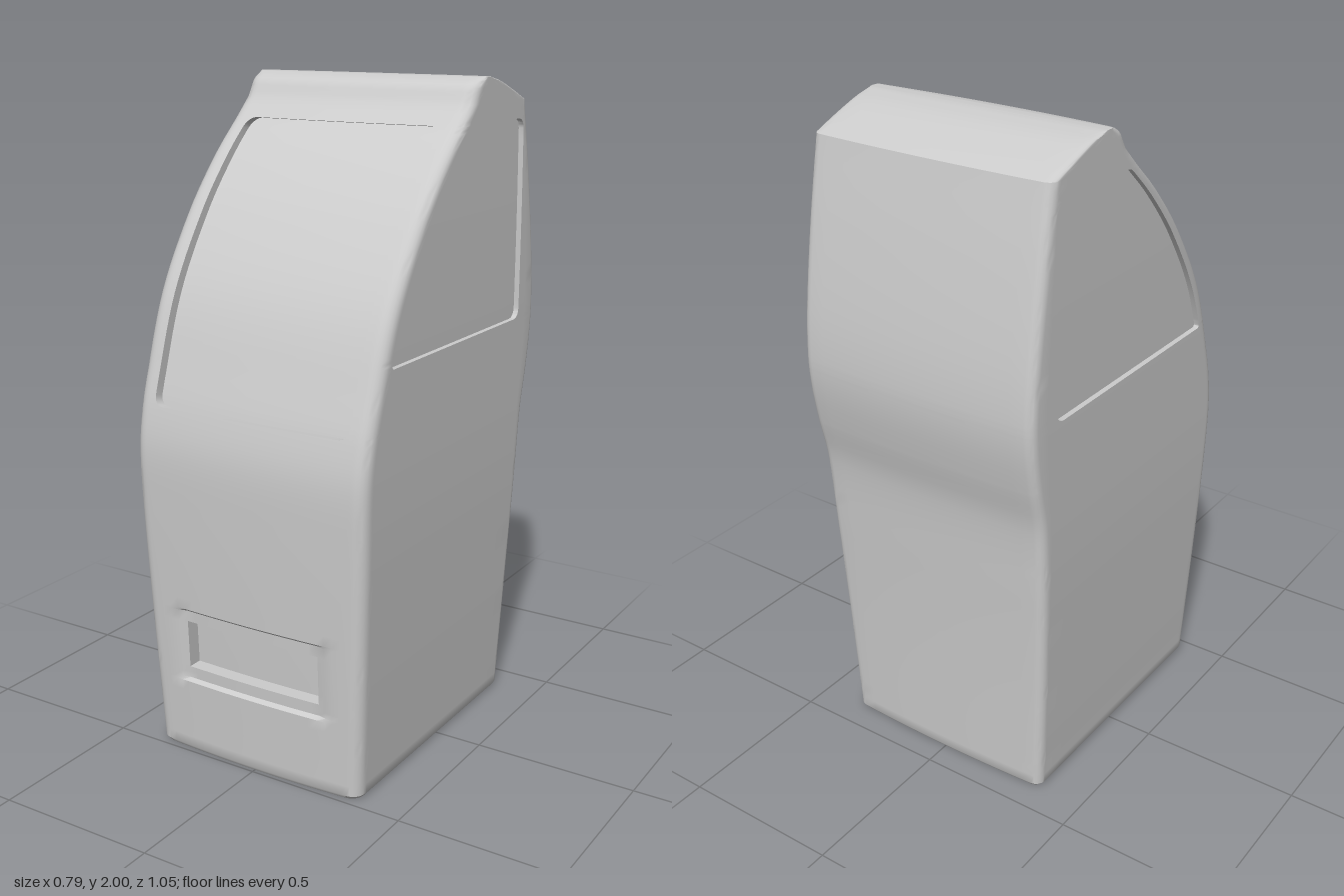
import * as THREE from 'three';
import { toCreasedNormals } from 'three/addons/utils/BufferGeometryUtils.js';

// Smooth curve through [y, value] pairs
function curve(pts) {
  const slope = (a, b) => (b[1] - a[1]) / (b[0] - a[0]);
  const m = pts.map((p, i) => slope(pts[Math.max(i - 1, 0)], pts[Math.min(i + 1, pts.length - 1)]));
  return (y) => {
    let i = 0;
    while (i < pts.length - 2 && y > pts[i + 1][0]) i++;
    const [a, b] = [pts[i], pts[i + 1]], h = b[0] - a[0];
    const t = THREE.MathUtils.clamp((y - a[0]) / h, 0, 1), t2 = t * t, t3 = t2 * t;
    return (2 * t3 - 3 * t2 + 1) * a[1] + (t3 - 2 * t2 + t) * h * m[i]
      + (3 * t2 - 2 * t3) * b[1] + (t3 - t2) * h * m[i + 1];
  };
}

// Cab outline by height: front, back, sloping roof and half width
const ROOF = 1.925;
const frontLower = curve([[0, 0.495], [0.4, 0.512], [0.8, 0.525], [0.95, 0.525], [1.05, 0.51], [1.15, 0.482],
  [1.4, 0.39], [1.62, 0.25], [1.77, 0.12], [1.87, 0.012], [ROOF, -0.045]]);
const frontVisor = curve([[ROOF, -0.045], [1.95, -0.06], [1.975, -0.076], [1.99, -0.1], [2, -0.14]]);
const backLower = curve([[0, -0.425], [0.4, -0.44], [0.7, -0.455], [0.95, -0.472], [1.08, -0.5], [1.2, -0.52],
  [1.3, -0.525], [1.45, -0.513], [1.7, -0.475], [ROOF, -0.433]]);
const backRoof = curve([[ROOF, -0.433], [1.95, -0.37], [1.975, -0.3], [1.99, -0.25], [2, -0.19]]);
const halfWidth = curve([[0, 0.357], [0.4, 0.375], [0.8, 0.39], [1.2, 0.395], [1.6, 0.395], [2, 0.39]]);
const front = (y) => (y < ROOF ? frontLower(y) : frontVisor(y));
const back = (y) => (y <= ROOF ? backLower(y) : backRoof(y));

// Opening heights
const VENT = [0.28, 0.43], SHIELD = [1.08, 1.87], SIDE = [1.26, 1.87];

// How far a rounded corner pulls an opening edge in at height y
function cornerInset(y, [y0, y1], r) {
  const d = Math.min(y - y0, y1 - y);
  if (d < -1e-6 || d >= r) return 0;
  return r - Math.sqrt(Math.max(0, r * r - (r - d) ** 2));
}

// Columns of half a ring: segments per stretch, front centre to back centre
const SEG = [8, 4, 6, 2, 10, 2, 5, 8];
const K = SEG.reduce((a, b) => a + b);
const C_FRONT = SEG[0], C_SIDE0 = SEG[0] + SEG[1] + SEG[2] + SEG[3], C_SIDE1 = C_SIDE0 + SEG[4];

function halfRing(y) {
  const shrink = y < 0.012 ? 0.008 : 0;
  const zf = front(y) - shrink, zb = back(y) + shrink, w = halfWidth(y) - shrink, span = zf - zb;
  const rf = Math.min(0.04, span / 4), rb = Math.min(0.03, span / 4);
  const bowF = Math.min(0.014, span / 8), bowB = Math.min(0.01, span / 8);
  const edge = 0.23 + 0.1 * THREE.MathUtils.smoothstep(y, 0.55, 1) - cornerInset(y, SHIELD, 0.03);
  const s0 = zf - Math.max(Math.min(0.067, span * 0.35), Math.min(rf + bowF, span * 0.4)) - cornerInset(y, SIDE, 0.012);
  const s1 = Math.max(-0.4, zb + Math.min(0.045, span * 0.35)) + cornerInset(y, SIDE, 0.03);
  // shallow dish around the vent
  const dish = (x) => 0.012 * (y > 0.24 && y < 0.47 ? 1 : 0) * (1 - THREE.MathUtils.smoothstep(x, 0.235, 0.27));
  const frontZ = (x) => zf - bowF * (x / w) ** 2 - dish(x);
  const backZ = (x) => zb + bowB * (x / w) ** 2;
  const xf = w - rf, xb = w - rb, cf = frontZ(xf) - rf, cb = backZ(xb) + rb, H = Math.PI / 2, mix = THREE.MathUtils.lerp;
  const stretches = [
    (t) => [edge * t, frontZ(edge * t)],
    (t) => { const x = mix(edge, xf, t); return [x, frontZ(x)]; },
    (t) => [xf + rf * Math.sin(t * H), cf + rf * Math.cos(t * H)],
    (t) => [w, mix(cf, s0, t)],
    (t) => [w, mix(s0, s1, t)],
    (t) => [w, mix(s1, cb, t)],
    (t) => [xb + rb * Math.cos(t * H), cb - rb * Math.sin(t * H)],
    (t) => [xb * (1 - t), backZ(xb * (1 - t))],
  ];
  const pts = [[0, frontZ(0)]];
  stretches.forEach((f, s) => { for (let i = 1; i <= SEG[s]; i++) pts.push(f(i / SEG[s])); });
  return pts;
}

// Row heights: fixed breaks, filled in evenly
function rowHeights() {
  const breaks = [0, 0.012, 0.234, 0.244, ...VENT, 0.464, 0.474, ROOF, 1.94, 1.95, 1.96, 1.97, 1.98, 1.988, 1.994, 1.998, 2];
  for (const [a, b] of [SHIELD, SIDE]) {
    for (const d of [0, 0.002, 0.006, 0.012, 0.02, 0.03]) breaks.push(a + d, b - d);
    breaks.push(a - 0.01, b + 0.01);
  }
  const sorted = [...new Set(breaks.map((v) => +v.toFixed(4)))].sort((a, b) => a - b), rows = [0];
  for (let i = 1; i < sorted.length; i++) {
    const a = sorted[i - 1], n = Math.ceil((sorted[i] - a) / 0.035);
    for (let k = 1; k <= n; k++) rows.push(+(a + (sorted[i] - a) * k / n).toFixed(5));
  }
  return rows;
}

function meshFromQuads(name, quads) {
  const pos = [];
  for (const [a, b, c, d] of quads) pos.push(...a, ...b, ...c, ...a, ...c, ...d);
  const g = new THREE.BufferGeometry();
  g.setAttribute('position', new THREE.Float32BufferAttribute(pos, 3));
  const mesh = new THREE.Mesh(toCreasedNormals(g, 0.6), new THREE.MeshStandardMaterial({ color: 0xcccccc }));
  mesh.name = name;
  return mesh;
}

export function createModel() {
  const group = new THREE.Group();
  group.name = 'vehicleCab';
  const rows = rowHeights(), rings = rows.map(halfRing);
  const at = (r, j) => {
    const [x, z] = rings[r][Math.abs(j)];
    return [j < 0 ? -x : x, rows[r], z];
  };
  const rowOf = (y) => rows.findIndex((v) => Math.abs(v - y) < 1e-4);
  const opening = (name, [y0, y1], c0, c1, offset) => ({ name, r0: rowOf(y0), r1: rowOf(y1), c0, c1, offset });
  const openings = [
    opening('windshield', SHIELD, -C_FRONT, C_FRONT, [0, -0.004, -0.03]),
    opening('frontVent', VENT, -C_FRONT, C_FRONT, [0, 0, -0.045]),
    opening('leftWindow', SIDE, C_SIDE0, C_SIDE1, [-0.016, 0, 0]),
    opening('rightWindow', SIDE, -C_SIDE1, -C_SIDE0, [0.016, 0, 0]),
  ];

  // Body shell with the openings left out
  const shell = [], last = rows.length - 1;
  for (let r = 0; r < last; r++) {
    for (let j = -K; j < K; j++) {
      if (openings.some((o) => r >= o.r0 && r < o.r1 && j >= o.c0 && j < o.c1)) continue;
      shell.push([at(r, j), at(r, j + 1), at(r + 1, j + 1), at(r + 1, j)]);
    }
  }
  // Floor and roof ridge
  for (let j = 0; j < K; j++) {
    shell.push([at(last, j), at(last, j + 1), at(last, -j - 1), at(last, -j)]);
    shell.push([at(0, -j), at(0, -j - 1), at(0, j + 1), at(0, j)]);
  }
  group.add(meshFromQuads('cabBody', shell));

  // Recessed panes with their rims
  for (const { name, r0, r1, c0, c1, offset } of openings) {
    const inner = (r, j) => at(r, j).map((v, i) => v + offset[i]);
    const pane = [], rim = [];
    for (let r = r0; r < r1; r++) {
      for (let j = c0; j < c1; j++) pane.push([inner(r, j), inner(r, j + 1), inner(r + 1, j + 1), inner(r + 1, j)]);
    }
    const wall = (ra, ja, rb, jb) => rim.push([at(ra, ja), at(rb, jb), inner(rb, jb), inner(ra, ja)]);
    for (let j = c0; j < c1; j++) {
      wall(r0, j, r0, j + 1);
      wall(r1, j + 1, r1, j);
    }
    for (let r = r0; r < r1; r++) {
      wall(r, c1, r + 1, c1);
      wall(r + 1, c0, r, c0);
    }
    group.add(meshFromQuads(name, pane), meshFromQuads(name + 'Rim', rim));
  }
  return group;
}
